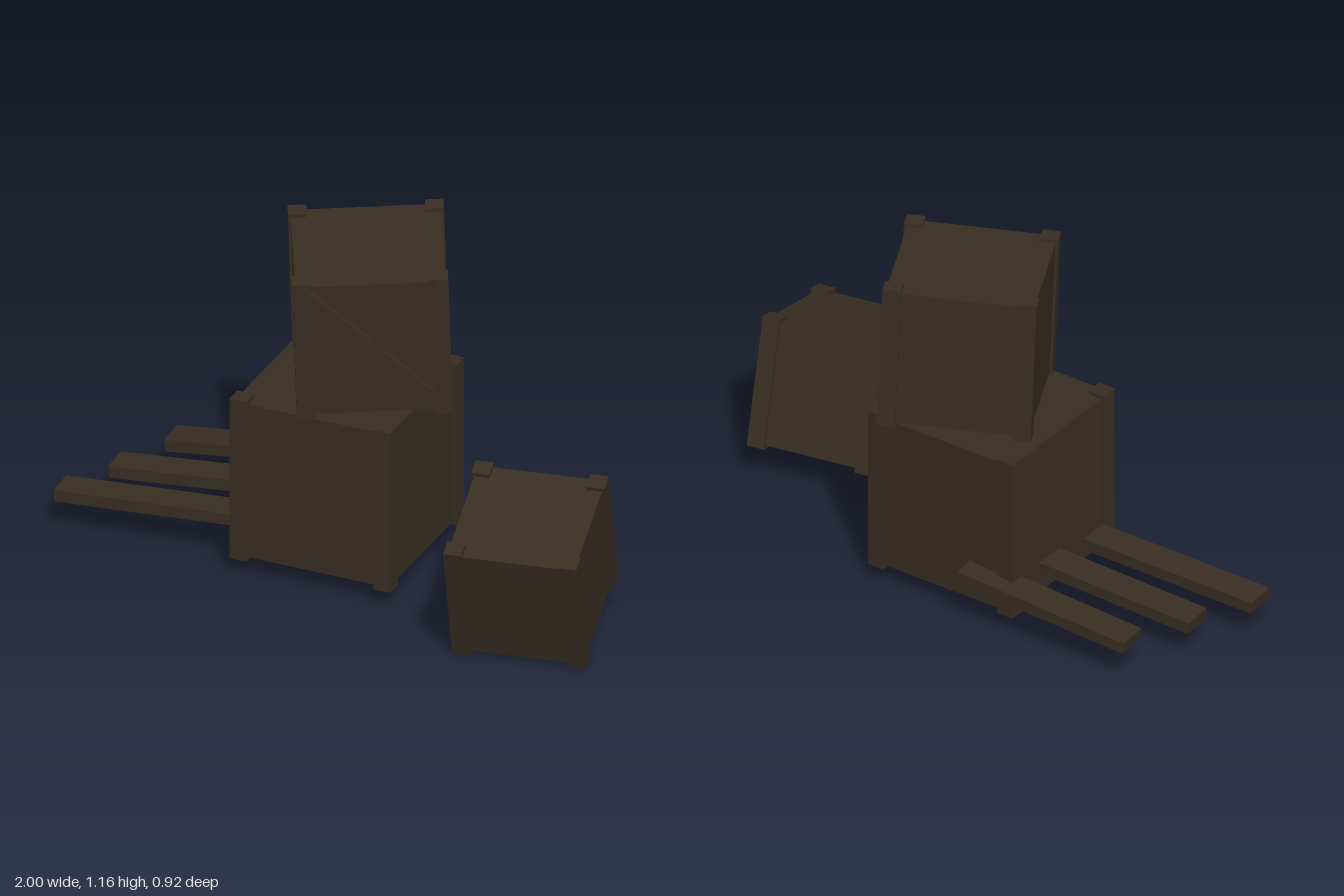
import * as THREE from 'three';

export function createModel() {
  const model = new THREE.Group();
  model.name = 'cratesAndPlanks';
  const wood = new THREE.MeshStandardMaterial({ color: 0x382e22 });
  wood.name = 'dark weathered wood';

  function box(parent, name, size, pos) {
    const mesh = new THREE.Mesh(new THREE.BoxGeometry(...size), wood);
    mesh.name = name;
    mesh.position.set(...pos);
    parent.add(mesh);
    return mesh;
  }

  // Crate: a plain body with four corner posts standing slightly proud
  function crate(name, half, halfHeight, pos, tilt, yaw, order) {
    const group = new THREE.Group();
    group.name = name;
    group.position.set(...pos);
    group.rotation.set(tilt, yaw, 0, order);
    const post = 0.06;
    const side = 2 * (half - 0.009);
    box(group, 'crateBody', [side, 2 * (halfHeight - 0.013), side], [0, 0, 0]);
    for (const sx of [-1, 1]) {
      for (const sz of [-1, 1]) {
        box(group, 'cornerPost', [post, 2 * halfHeight, post],
          [sx * (half - post / 2), 0, sz * (half - post / 2)]);
      }
    }
    model.add(group);
    return group;
  }

  crate('bottomCrate', 0.283, 0.29, [-0.09, 0.345, -0.07], 0, 0.1, 'XYZ');
  const top = crate('topCrate', 0.25, 0.25, [-0.02, 0.89, -0.1], 0.06, 0.56, 'XYZ');
  crate('leaningCrate', 0.22, 0.22, [0.715, 0.272, 0.14], 0.28, 0.28, 'YXZ');

  // Crossed braces on one face of the top crate
  for (const s of [-1, 1]) {
    const brace = box(top, 'crossBrace', [0.65, 0.045, 0.03], [0, 0, 0.25 + s * 0.0005]);
    brace.rotation.z = s * Math.PI / 4;
  }

  // Loose planks, each rising a little more steeply: [x, y, z, slope]
  const planks = [
    [-0.68, 0.133, 0.155, 0.05],
    [-0.61, 0.142, -0.07, 0.075],
    [-0.54, 0.156, -0.305, 0.1],
  ];
  for (const [x, y, z, slope] of planks) {
    const plank = box(model, 'plank', [0.63, 0.04, 0.11], [x, y, z]);
    plank.rotation.set(0, 0.16, slope, 'YXZ');
  }
  return model;
}
